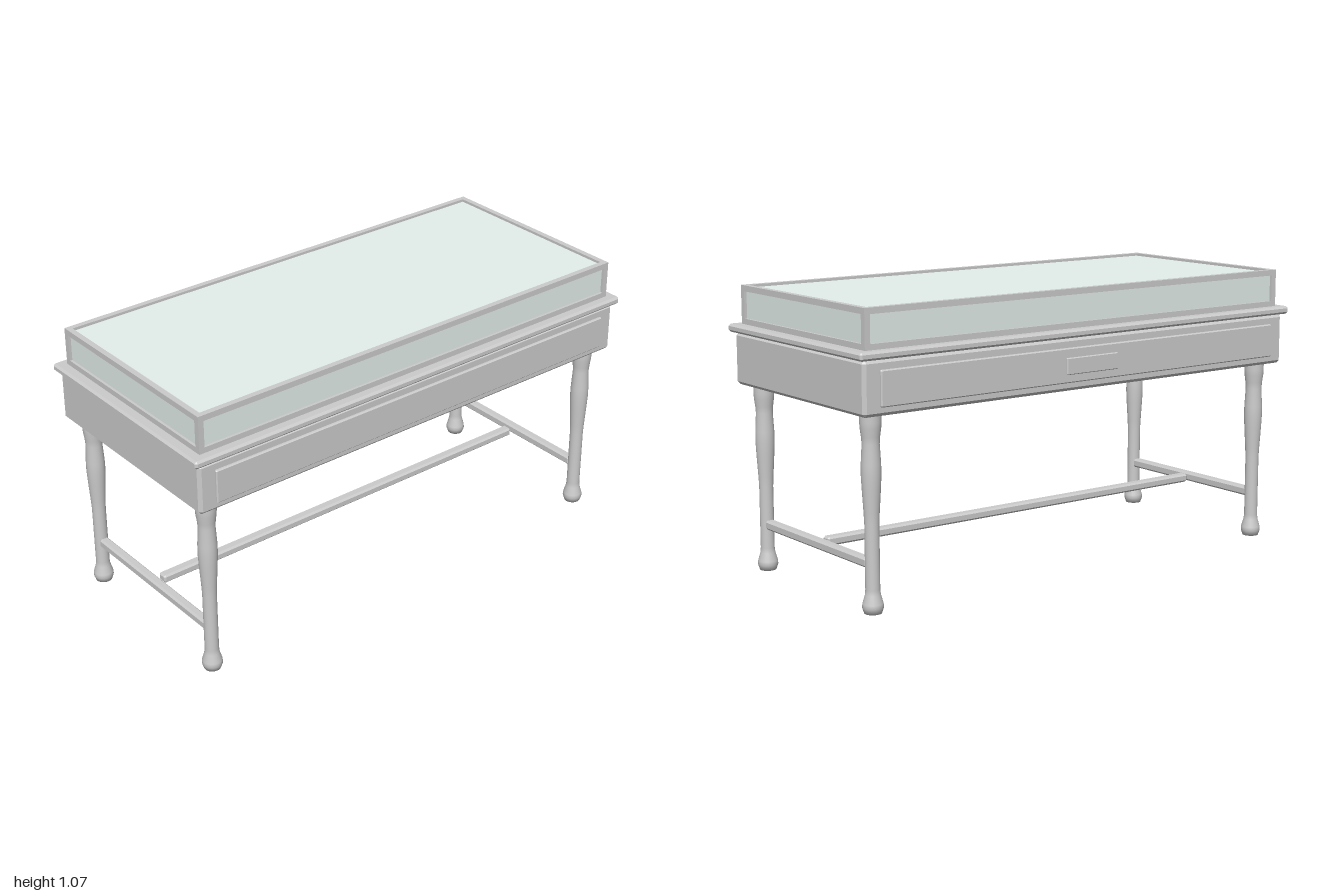
import * as THREE from 'three';
import { ConvexGeometry } from 'three/addons/geometries/ConvexGeometry.js';

const wood = new THREE.MeshStandardMaterial({ color: 0xcccccc });
const glass = new THREE.MeshStandardMaterial({ color: 0xe4efec });

// Box with chamfered edges; c is the chamfer size
function chamferBox(w, h, d, c) {
  const pts = [];
  for (const sx of [-1, 1]) for (const sy of [-1, 1]) for (const sz of [-1, 1]) {
    const x = w / 2, y = h / 2, z = d / 2;
    pts.push(
      new THREE.Vector3(sx * x, sy * (y - c), sz * (z - c)),
      new THREE.Vector3(sx * (x - c), sy * y, sz * (z - c)),
      new THREE.Vector3(sx * (x - c), sy * (y - c), sz * z));
  }
  return new ConvexGeometry(pts);
}

function add(parent, name, geometry, x, y, z, material = wood) {
  const mesh = new THREE.Mesh(geometry, material);
  mesh.name = name;
  mesh.position.set(x, y, z);
  parent.add(mesh);
  return mesh;
}

export function createModel() {
  const model = new THREE.Group();
  model.name = 'displayTable';

  // Table body, top ledge, raised long panels and rear plaque
  add(model, 'apron', chamferBox(1.96, 0.195, 0.872, 0.012), 0, 0.802, 0);
  add(model, 'topLedge', chamferBox(2, 0.03, 0.905, 0.008), 0, 0.915, 0);
  for (const s of [-1, 1]) {
    add(model, s > 0 ? 'frontPanel' : 'backPanel',
      chamferBox(1.83, 0.128, 0.03, 0.004), 0, 0.8, s * 0.431);
  }
  add(model, 'backPlaque', chamferBox(0.24, 0.062, 0.02, 0.003), 0, 0.798, -0.443);

  // Glazed case: twelve frame bars and five recessed panes
  const showcase = new THREE.Group();
  showcase.name = 'glassCase';
  model.add(showcase);
  const X = 0.96, Z = 0.416, Y0 = 0.929, Y1 = 1.074, t = 0.022, recess = 0.01;
  const midY = (Y0 + Y1) / 2, H = Y1 - Y0;
  for (const y of [Y0 + t / 2, Y1 - t / 2]) {
    for (const s of [-1, 1]) {
      add(showcase, 'longRail', new THREE.BoxGeometry(2 * X, t, t), 0, y, s * (Z - t / 2));
      add(showcase, 'endRail', new THREE.BoxGeometry(t, t, 2 * (Z - t)), s * (X - t / 2), y, 0);
    }
  }
  for (const sx of [-1, 1]) for (const sz of [-1, 1]) {
    add(showcase, 'cornerPost', new THREE.BoxGeometry(t, H - 2 * t, t),
      sx * (X - t / 2), midY, sz * (Z - t / 2));
  }
  const p = 0.004;
  for (const s of [-1, 1]) {
    add(showcase, 'longPane', new THREE.BoxGeometry(2 * (X - t), H - 2 * t, p),
      0, midY, s * (Z - recess - p / 2), glass);
    add(showcase, 'endPane', new THREE.BoxGeometry(p, H - 2 * t, 2 * (Z - t)),
      s * (X - recess - p / 2), midY, 0, glass);
  }
  add(showcase, 'topPane', new THREE.BoxGeometry(2 * (X - t), p, 2 * (Z - t)),
    0, Y1 - recess - p / 2, 0, glass);

  // Turned legs
  const legX = 0.907, legZ = 0.361;
  const profile = [
    [0, 0], [0.031, 0], [0.038, 0.02], [0.037, 0.035], [0.028, 0.066], [0.026, 0.085],
    [0.026, 0.2], [0.026, 0.32], [0.028, 0.36], [0.033, 0.44], [0.0355, 0.49], [0.035, 0.53],
    [0.031, 0.6], [0.033, 0.625], [0.037, 0.655], [0.038, 0.675], [0.038, 0.71],
  ].map(([r, y]) => new THREE.Vector2(r, y));
  const legGeometry = new THREE.LatheGeometry(profile, 24);
  for (const sx of [-1, 1]) for (const sz of [-1, 1]) {
    add(model, (sz > 0 ? 'front' : 'back') + (sx > 0 ? 'Left' : 'Right') + 'Leg',
      legGeometry, sx * legX, 0, sz * legZ);
  }

  // Stretchers between the legs
  for (const s of [-1, 1]) {
    add(model, s > 0 ? 'leftStretcher' : 'rightStretcher',
      chamferBox(0.036, 0.035, 0.69, 0.007), s * legX, 0.176, 0);
  }
  add(model, 'longStretcher', chamferBox(1.746, 0.033, 0.04, 0.007), 0, 0.177, 0);

  return model;
}
